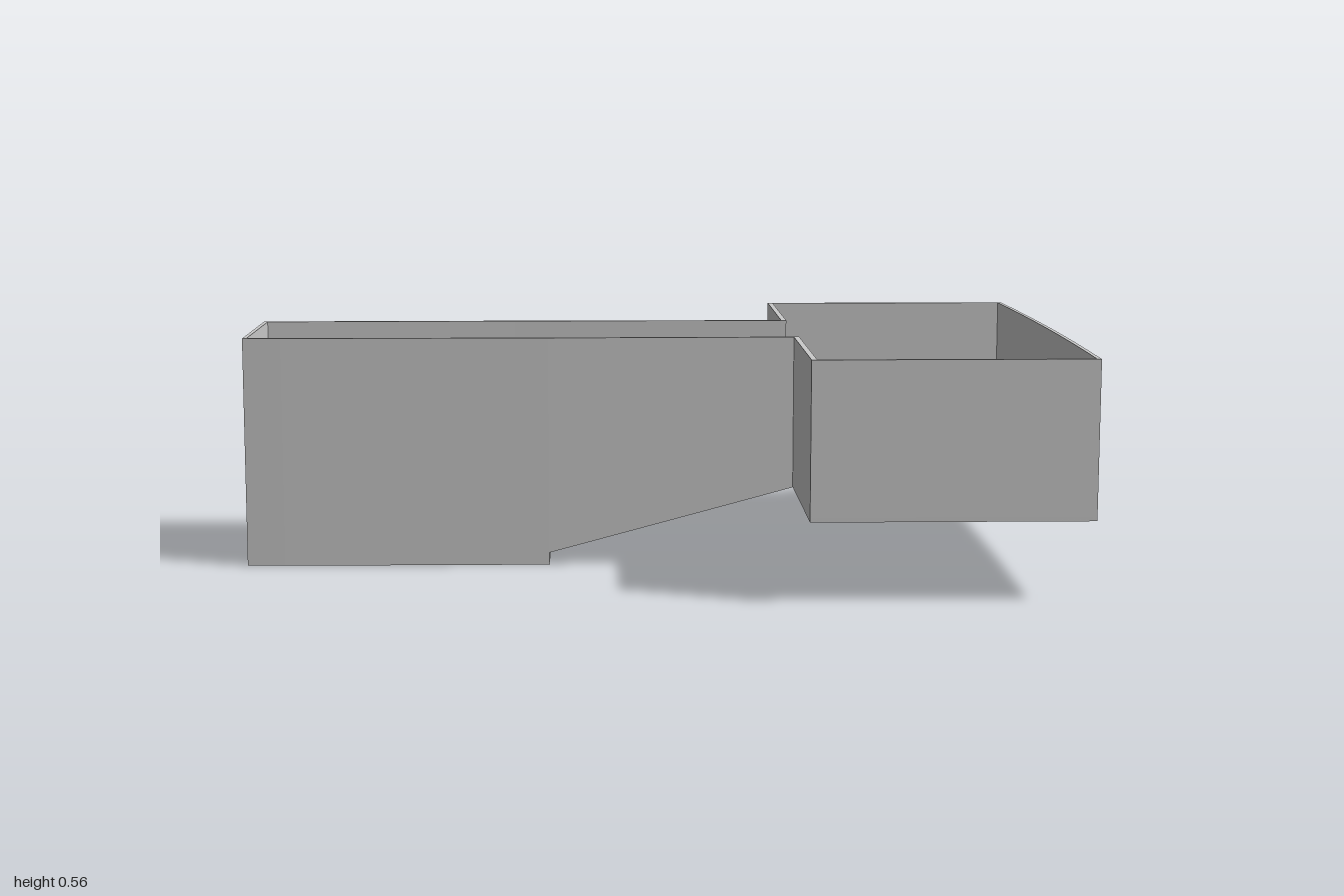
import * as THREE from 'three';

const TOP = 0.56, DEEP_END = -0.26, STEP = 0.03, SHELF = 0.19, NECK = 0.34, T = 0.01;
const material = new THREE.MeshStandardMaterial({ color: 0xcccccc, flatShading: true, side: THREE.DoubleSide });

export function createModel() {
  const group = new THREE.Group();

  const add = (name, geometry) => {
    const mesh = new THREE.Mesh(geometry, material);
    mesh.name = name;
    group.add(mesh);
    return mesh;
  };

  // Box given by its lower and upper corners
  const box = (name, x0, x1, y0, y1, z0, z1, segX = 1, segZ = 1) => {
    const g = new THREE.BoxGeometry(x1 - x0, y1 - y0, z1 - z0, segX, 1, segZ);
    g.translate((x0 + x1) / 2, (y0 + y1) / 2, (z0 + z1) / 2);
    return add(name, g);
  };

  // Applies a rule to every vertex
  const reshape = (mesh, rule) => {
    const p = mesh.geometry.attributes.position;
    const v = new THREE.Vector3();
    for (let i = 0; i < p.count; i++) {
      v.fromBufferAttribute(p, i);
      rule(v);
      p.setXYZ(i, v.x, v.y, v.z);
    }
    mesh.geometry.computeVertexNormals();
  };

  // Channel walls bow out slightly and follow the ramp underneath
  const slope = (SHELF - STEP) / (NECK - DEEP_END);
  const bow = x => 0.005 * (1 - ((x + 0.33) / 0.67) ** 2);
  for (const s of [1, -1]) {
    const z0 = s > 0 ? 0.2 - T : -0.2;
    const side = s > 0 ? 'Left' : 'Right';
    const deep = box('channelWallDeep' + side, -1, DEEP_END, 0, TOP, z0, z0 + T, 8);
    reshape(deep, v => { v.z += s * bow(v.x); });
    const ramp = box('channelWallRamp' + side, DEEP_END, NECK, 0, TOP, z0, z0 + T, 6);
    reshape(ramp, v => {
      if (v.y < 0.1) v.y = STEP + slope * (v.x - DEEP_END);
      v.z += s * bow(v.x);
    });

    // Basin end wall and shoulder beside the channel mouth
    const e = s > 0 ? 0.67 - T : -0.67;
    box('basinEndWall' + side, NECK, 0.99, SHELF, TOP, e, e + T);
    box('basinShoulder' + side, NECK - 0.003, NECK + T, SHELF, TOP, s > 0 ? 0.19 : -0.67, s > 0 ? 0.67 : -0.19);
  }
  box('channelEndWall', -1, -1 + T, 0, TOP, -0.2, 0.2);

  // Long basin wall, bowed outward
  const longWall = box('basinLongWall', 0.99 - T, 0.99, SHELF, TOP, -0.67, 0.67, 1, 8);
  reshape(longWall, v => { v.x += 0.01 * (1 - (v.z / 0.67) ** 2); });

  // Channel floor: flat bottom, small step and ramp up to the basin
  const profile = new THREE.Shape([
    [-1, 0], [DEEP_END, 0], [DEEP_END, STEP + 0.003], [NECK, SHELF + 0.003],
    [NECK, SHELF + T], [DEEP_END - T, STEP + T], [DEEP_END - T, T], [-1, T],
  ].map(([x, y]) => new THREE.Vector2(x, y)));
  const floor = new THREE.ExtrudeGeometry(profile, { depth: 0.39, bevelEnabled: false });
  floor.translate(0, 0, -0.195);
  add('channelFloor', floor);

  const basinFloor = box('basinFloor', NECK, 0.99, SHELF, SHELF + T, -0.67, 0.67, 1, 8);
  reshape(basinFloor, v => { if (v.x > 0.9) v.x += 0.01 * (1 - (v.z / 0.67) ** 2); });

  return group;
}
